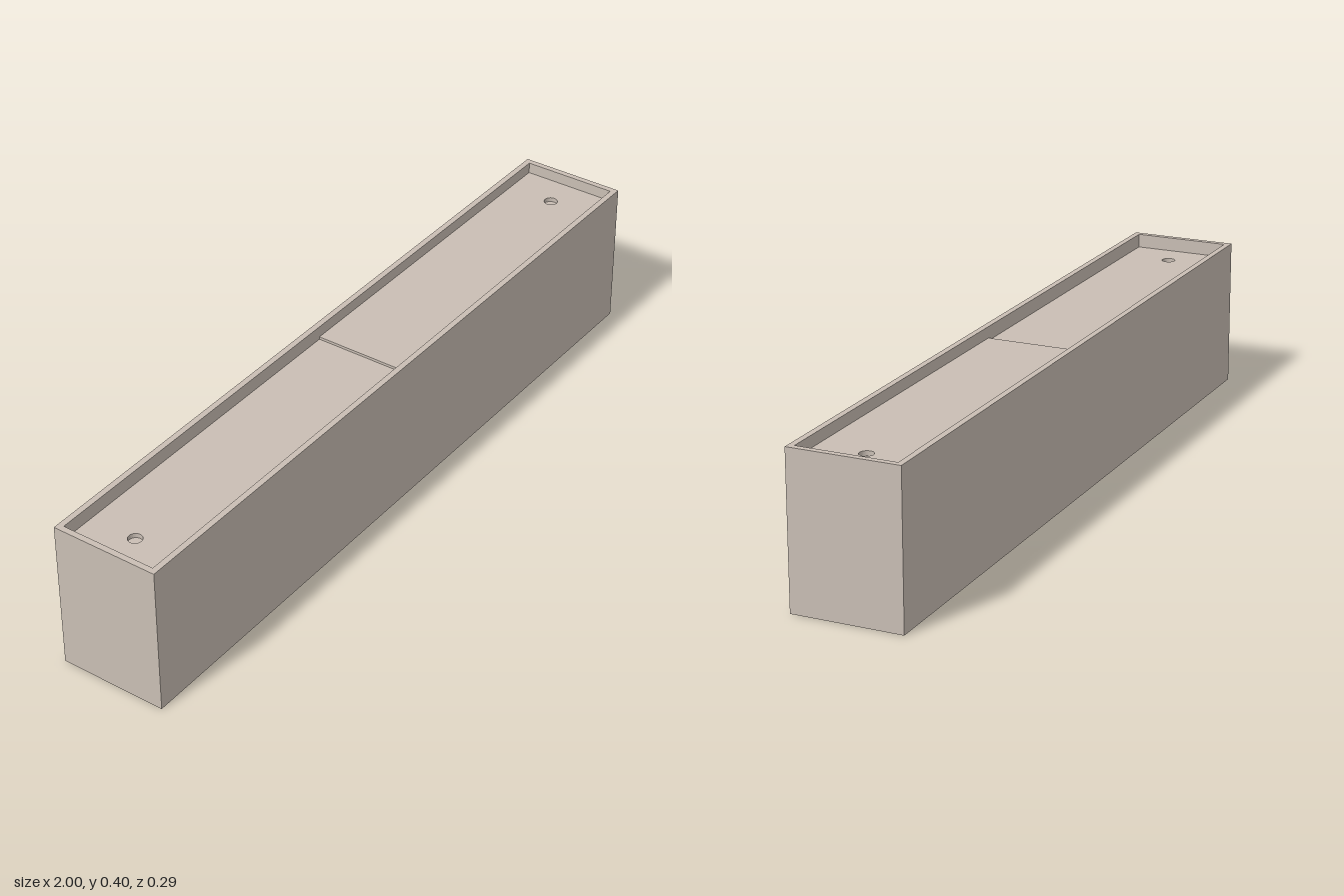
import * as THREE from 'three';

const LENGTH = 2, HEIGHT = 0.4, DEPTH = 0.29, WALL = 0.016, FLOOR = 0.016;
const HOLE_X = 0.89, HOLE_R = 0.018, PANEL = 0.012;

// Rectangle outline centred on (cx, 0)
function rect(target, w, d, cx = 0) {
  target.moveTo(cx - w / 2, -d / 2);
  target.lineTo(cx + w / 2, -d / 2);
  target.lineTo(cx + w / 2, d / 2);
  target.lineTo(cx - w / 2, d / 2);
  target.closePath();
  return target;
}

// Flat shape extruded upward from y
function slab(shape, thickness, y) {
  const geo = new THREE.ExtrudeGeometry(shape, { depth: thickness, bevelEnabled: false, curveSegments: 16 });
  return geo.rotateX(-Math.PI / 2).translate(0, y, 0);
}

export function createModel() {
  const group = new THREE.Group();
  const stone = new THREE.MeshStandardMaterial({ color: 0xc9beb4 });
  stone.name = 'warm greige';
  const add = (name, geo) => {
    const mesh = new THREE.Mesh(geo, stone);
    mesh.name = name;
    group.add(mesh);
  };

  // Open box: four walls in one ring, plus the bottom
  const innerL = LENGTH - 2 * WALL, innerD = DEPTH - 2 * WALL;
  const ring = rect(new THREE.Shape(), LENGTH, DEPTH);
  ring.holes.push(rect(new THREE.Path(), innerL, innerD));
  add('walls', slab(ring, HEIGHT, 0));
  add('bottom', new THREE.BoxGeometry(innerL, FLOOR, innerD).translate(0, FLOOR / 2, 0));

  // Two sunken lid halves with finger holes; the +x half sits slightly higher
  for (const [side, drop] of [[1, 0.03], [-1, 0.037]]) {
    const label = side > 0 ? 'left' : 'right';
    const lid = rect(new THREE.Shape(), innerL / 2, innerD, side * innerL / 4);
    const hole = new THREE.Path();
    hole.absarc(side * HOLE_X, 0, HOLE_R, 0, Math.PI * 2, true);
    lid.holes.push(hole);
    const y = HEIGHT - drop - PANEL;
    add(label + 'Lid', slab(lid, PANEL, y));
    // Backing under the finger hole
    add(label + 'HoleBase', new THREE.CylinderGeometry(HOLE_R * 1.3, HOLE_R * 1.3, 0.006, 24)
      .translate(side * HOLE_X, y - 0.003, 0));
  }
  return group;
}
